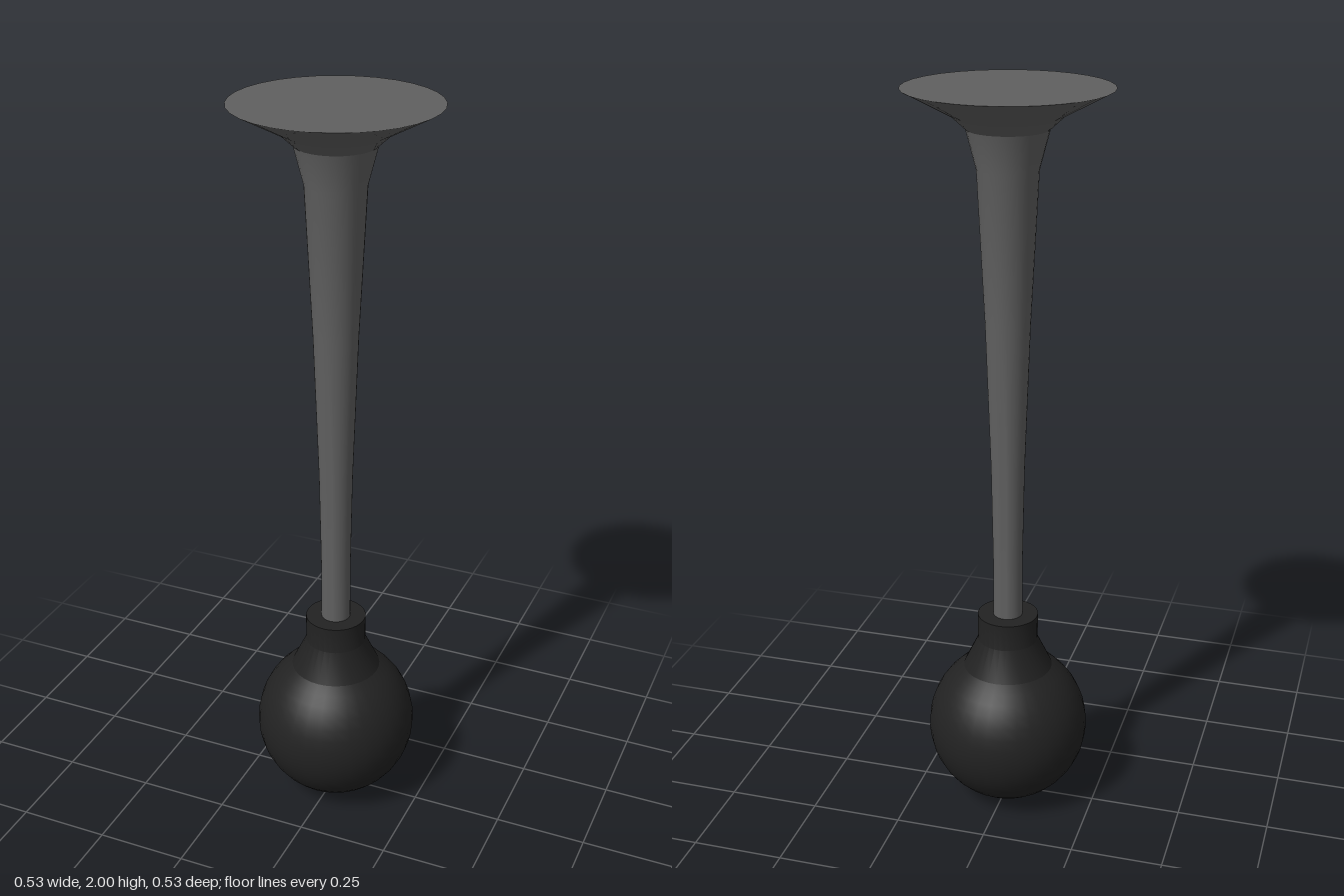
import * as THREE from 'three';
import { toCreasedNormals } from 'three/addons/utils/BufferGeometryUtils.js';

const SIDES = 32;

// Revolve a bottom-to-top profile of [radius, height] pairs
function lathe(name, profile, color) {
  const points = profile.map(([r, y]) => new THREE.Vector2(r, y));
  const geometry = toCreasedNormals(new THREE.LatheGeometry(points, SIDES), 0.45);
  const mesh = new THREE.Mesh(geometry, new THREE.MeshStandardMaterial({ color }));
  mesh.name = name;
  return mesh;
}

export function createModel() {
  const model = new THREE.Group();
  model.name = 'bulbHorn';

  // Rubber bulb: round body, sloping neck and straight collar
  const R = 0.222;
  const bulb = [];
  const steps = 18;
  const end = Math.PI - Math.asin(0.123 / R);
  for (let i = 0; i <= steps; i++) {
    const a = (end * i) / steps;
    bulb.push([R * Math.sin(a), R - R * Math.cos(a)]);
  }
  bulb.push([0.083, 0.49], [0.083, 0.565], [0, 0.565]);
  model.add(lathe('squeezeBulb', bulb, 0x222222));

  // Tapered tube opening into a flared bell with a flat closed mouth
  model.add(lathe('hornTube', [
    [0, 0.5], [0.04, 0.5], [0.04, 0.72], [0.045, 1.0], [0.059, 1.4],
    [0.079, 1.8], [0.105, 1.9], [0.143, 1.935], [0.265, 2], [0, 2],
  ], 0x606060));

  return model;
}
